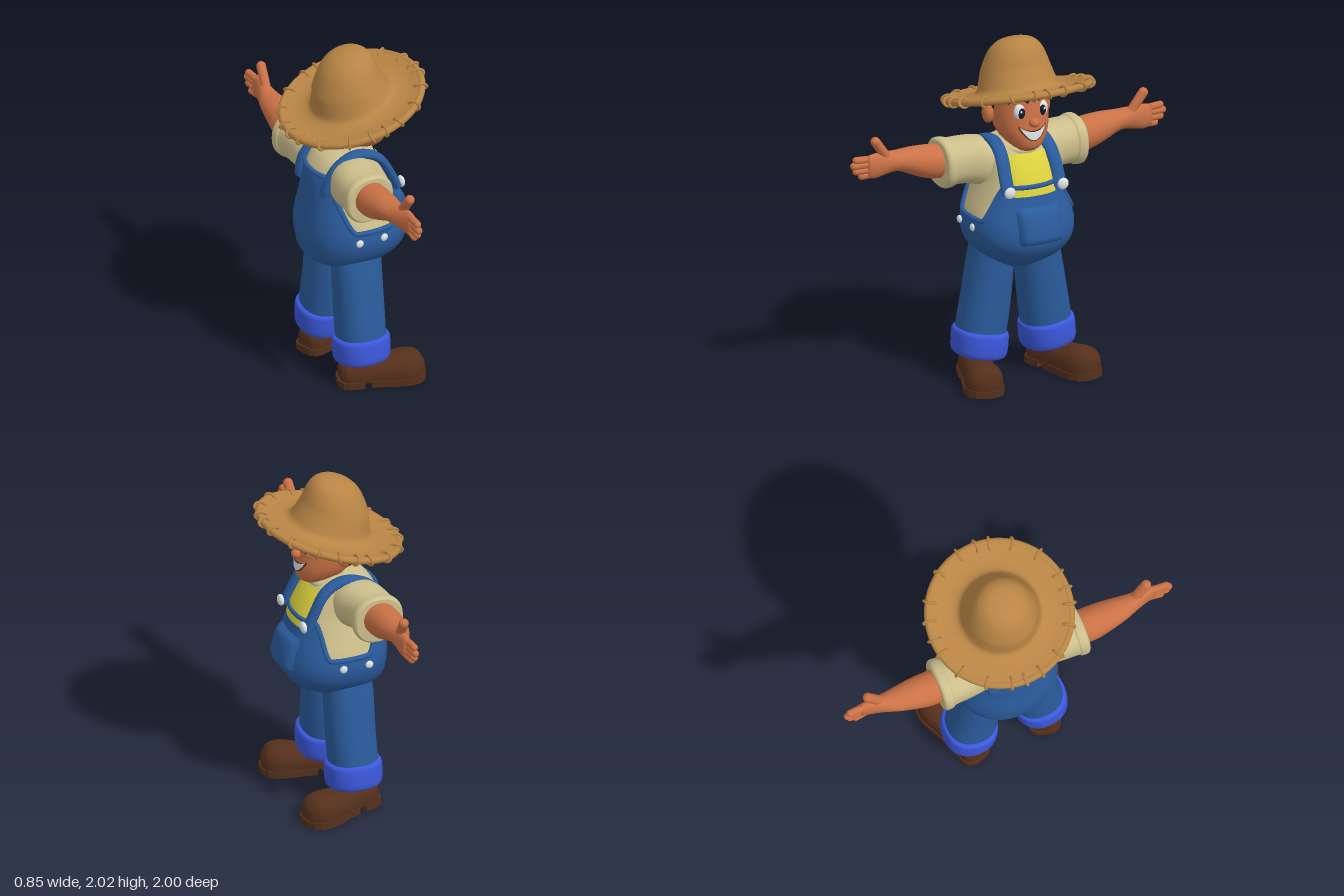
import * as THREE from 'three';

const mat = (name, color) => Object.assign(new THREE.MeshStandardMaterial({ color }), { name });
const V = (x, y, z) => new THREE.Vector3(x, y, z);
const smooth = THREE.MathUtils.smoothstep;

// Smoothly interpolate a table of rows [t, c1, c2, r1, r2]
function sample(rows, t) {
  let i = 0;
  while (i < rows.length - 2 && t > rows[i + 1][0]) i++;
  const a = rows[i], b = rows[i + 1], h = b[0] - a[0], u = THREE.MathUtils.clamp((t - a[0]) / h, 0, 1);
  const slope = (j, k) => {
    const p = rows[Math.max(j - 1, 0)], q = rows[Math.min(j + 1, rows.length - 1)];
    return (q[k] - p[k]) / (q[0] - p[0]) * h;
  };
  const u2 = u * u, u3 = u2 * u;
  return [1, 2, 3, 4].map(k => a[k] * (2 * u3 - 3 * u2 + 1) + slope(i, k) * (u3 - 2 * u2 + u)
    + b[k] * (3 * u2 - 2 * u3) + slope(i + 1, k) * (u3 - u2));
}

// Closed skin over rings of points
function skin(rings, flip) {
  const n = rings[0].length, pos = rings.flat().flatMap(p => p.toArray()), idx = [];
  for (let i = 0; i < rings.length - 1; i++) for (let j = 0; j < n; j++) {
    const a = i * n + j, b = i * n + (j + 1) % n, c = a + n, d = b + n;
    flip ? idx.push(a, b, c, b, d, c) : idx.push(a, c, b, b, c, d);
  }
  const g = new THREE.BufferGeometry();
  g.setAttribute('position', new THREE.Float32BufferAttribute(pos, 3));
  g.setIndex(idx);
  g.computeVertexNormals();
  return g;
}

// Superellipse ring at height t along an axis
const sp = (v, p) => Math.sign(v) * Math.abs(v) ** (2 / p);
function ringPoint(axis, t, [c1, c2, r1, r2], a, p, k = 1) {
  const u = c1 + k * r1 * sp(Math.cos(a), p), v = c2 + k * r2 * sp(Math.sin(a), p);
  return axis === 'y' ? V(u, t, v) : axis === 'x' ? V(t, u, v) : V(u, v, t);
}
function loft(axis, rows, { seg = 32, p = 2, k = 1, steps = 4 } = {}) {
  const rings = [], ring = (t, kk) => rings.push(Array.from({ length: seg },
    (_, j) => ringPoint(axis, t, sample(rows, t), j / seg * Math.PI * 2, p, kk)));
  ring(rows[0][0], 0);
  for (let i = 0; i < rows.length - 1; i++) for (let s = 0; s < steps; s++)
    ring(rows[i][0] + (rows[i + 1][0] - rows[i][0]) * s / steps, k);
  ring(rows.at(-1)[0], k);
  ring(rows.at(-1)[0], 0);
  return skin(rings, axis !== 'y');
}

// Move every vertex by a rule
function warp(g, rule) {
  const a = g.attributes.position, v = V(0, 0, 0);
  for (let i = 0; i < a.count; i++) { rule(v.fromBufferAttribute(a, i)); a.setXYZ(i, v.x, v.y, v.z); }
  g.computeVertexNormals();
  return g;
}
const patch = rule => warp(new THREE.PlaneGeometry(2, 2, 24, 16), rule);
const frontZ = (rows, x, y, p) => {
  const [, cz, rx, rz] = sample(rows, y);
  return cz + rz * Math.max(0, 1 - Math.abs(x / rx) ** p) ** (1 / p);
};
const ball = (x, y, z, rx, ry, rz) => new THREE.SphereGeometry(1, 24, 16).scale(rx, ry, rz).translate(x, y, z);
function capsule(a, b, r) {
  const d = b.clone().sub(a), g = new THREE.CapsuleGeometry(r, d.length(), 6, 14);
  g.applyQuaternion(new THREE.Quaternion().setFromUnitVectors(V(0, 1, 0), d.normalize()));
  const m = a.clone().add(b).multiplyScalar(0.5);
  return g.translate(m.x, m.y, m.z);
}
const tube = (pts, r, closed = false, n = 32) =>
  new THREE.TubeGeometry(new THREE.CatmullRomCurve3(pts, closed), n, r, 10, closed);
function mirrored(g) {
  const m = g.clone().scale(-1, 1, 1);
  const ids = m.index ? Array.from(m.index.array) : Array.from({ length: m.attributes.position.count }, (_, i) => i);
  for (let i = 0; i < ids.length; i += 3) [ids[i], ids[i + 1]] = [ids[i + 1], ids[i]];
  m.setIndex(ids);
  return m;
}

const TORSO = [[0.64, 0, -0.03, 0.02, 0.02], [0.67, 0, -0.03, 0.1, 0.1], [0.71, 0, -0.035, 0.17, 0.18], [0.77, 0, -0.03, 0.245, 0.265],
  [0.84, 0, -0.015, 0.295, 0.297], [0.92, 0, -0.015, 0.313, 0.303], [1.0, 0, -0.02, 0.3, 0.292], [1.1, 0, -0.03, 0.262, 0.268],
  [1.2, 0, -0.04, 0.225, 0.25], [1.3, 0, -0.055, 0.205, 0.215], [1.38, 0, -0.06, 0.18, 0.16], [1.42, 0, -0.06, 0.12, 0.1]];
const HEAD = [[1.385, 0, 0.1, 0.05, 0.055], [1.41, 0, 0.085, 0.085, 0.102], [1.45, 0, 0.05, 0.122, 0.145], [1.5, 0, 0.03, 0.146, 0.165],
  [1.58, 0, 0.01, 0.16, 0.175], [1.65, 0, 0, 0.163, 0.175], [1.72, 0, -0.01, 0.16, 0.17], [1.8, 0, -0.03, 0.1, 0.1]];
const HAIR = [[1.46, 0, -0.07, 0.08, 0.07], [1.52, 0, -0.06, 0.14, 0.115], [1.6, 0, -0.045, 0.17, 0.137],
  [1.67, 0, -0.035, 0.176, 0.155], [1.72, 0, -0.01, 0.176, 0.182], [1.79, 0, -0.03, 0.12, 0.12]];

export function createModel() {
  const skinTone = mat('skin', 0xcb7246), denim = mat('denim blue', 0x2a5b9c), cuffBlue = mat('cuff blue', 0x3c58dc),
    cream = mat('cream shirt', 0xcdbf8c), yellow = mat('yellow undershirt', 0xdcd23e), straw = mat('straw', 0xb98545),
    brown = mat('brown leather', 0x55301c), dark = mat('dark hair', 0x171a28), white = mat('white', 0xe6ebee);
  const body = new THREE.Group();
  body.name = 'farmer';
  const add = (name, g, m, parent = body) => {
    const mesh = new THREE.Mesh(g, m);
    mesh.name = name;
    parent.add(mesh);
    return mesh;
  };
  const both = (name, g, m) => { add(name + 'Right', g, m); add(name + 'Left', mirrored(g), m); };

  // Shirt and undershirt
  add('shirt', loft('y', TORSO.slice(4), { p: 2.3, k: 0.965, seg: 48 }), cream);
  add('undershirt', patch(v => {
    v.x *= 0.13; v.y = 1.25 + v.y * 0.11;
    v.z = frontZ(TORSO, v.x, v.y, 2.3) + 0.003;
  }), yellow);
  add('collar', new THREE.TorusGeometry(0.1, 0.022, 10, 32).rotateX(Math.PI / 2 + 0.25).translate(0, 1.39, 0), cream);
  both('sleeve', loft('x', [[0.08, 1.27, -0.08, 0.12, 0.13], [0.2, 1.285, -0.1, 0.14, 0.145], [0.3, 1.295, -0.12, 0.132, 0.138],
    [0.38, 1.295, -0.125, 0.132, 0.138], [0.39, 1.295, -0.125, 0.14, 0.146], [0.43, 1.295, -0.125, 0.142, 0.148],
    [0.445, 1.295, -0.125, 0.13, 0.135]], { p: 2.3 }), cream);

  // Overalls, with the upper edge dipping under each arm
  const top = a => {
    const s = Math.sin(a);
    return 0.99 + 0.2 * smooth(s, 0.35, 0.74) + 0.32 * smooth(-s, 0.3, 0.88);
  };
  const N = 96, angles = Array.from({ length: N }, (_, j) => j / N * Math.PI * 2);
  const onTorso = (y, a, k = 1) => ringPoint('y', y, sample(TORSO, y), a, 2.3, k);
  add('overalls', skin(Array.from({ length: 37 }, (_, i) => angles.map(a => onTorso(0.64 + (top(a) - 0.64) * i / 36, a)))), denim);
  add('overallsEdge', tube(angles.map(a => onTorso(top(a), a, 0.99)), 0.015, true, 160), denim);
  both('strap', tube([V(0, 1.16, 0.195), V(0, 1.25, 0.155), V(-0.005, 1.36, 0.09), V(-0.01, 1.41, 0), V(-0.01, 1.41, -0.09),
    V(-0.005, 1.36, -0.19), V(-0.01, 1.26, -0.245), V(-0.015, 1.2, -0.255)], 0.026).scale(1.6, 1, 1).translate(0.163, 0, 0), denim);
  add('pocket', patch(v => {
    const bulge = 0.038 * (1 - v.x ** 10) * (1 - v.y ** 10) - 0.004;
    v.x *= 0.137 - 0.012 * v.y ** 8; v.y = 0.975 + v.y * 0.107;
    v.z = frontZ(TORSO, v.x, v.y, 2.3) + bulge;
  }), denim);
  both('strapButton', ball(0.168, 1.18, 0.222, 0.034, 0.034, 0.018), white);
  for (const z of [-0.12, 0.035]) both('sideButton', ball(0.308, 0.94, z, 0.013, 0.023, 0.023), white);

  // Trouser legs and rolled cuffs
  both('leg', loft('y', [[0.2, 0.215, -0.06, 0.135, 0.13], [0.3, 0.203, -0.06, 0.143, 0.138], [0.5, 0.174, -0.056, 0.138, 0.14],
    [0.7, 0.15, -0.055, 0.126, 0.142], [0.82, 0.14, -0.05, 0.11, 0.14]], { p: 2.3 }), denim);
  both('cuff', warp(loft('y', [[0.135, 0.22, -0.06, 0.125, 0.13], [0.15, 0.22, -0.06, 0.147, 0.152], [0.2, 0.215, -0.06, 0.155, 0.16],
    [0.26, 0.21, -0.06, 0.155, 0.16], [0.285, 0.207, -0.06, 0.15, 0.155], [0.295, 0.205, -0.06, 0.135, 0.135]], { p: 2.3 }),
    v => { v.y += 0.15 * (v.x - 0.21); }), cuffBlue);

  // Boots with a split sole, toes turned out
  const place = g => g.rotateY(0.3).translate(0.255, 0, 0);
  both('boot', place(warp(loft('z', [[-0.2, 0, 0.06, 0.05, 0.05], [-0.16, 0, 0.06, 0.085, 0.085], [-0.05, 0, 0.06, 0.088, 0.1],
    [0.08, 0, 0.06, 0.098, 0.095], [0.18, 0, 0.06, 0.108, 0.108], [0.25, 0, 0.06, 0.088, 0.09], [0.285, 0, 0.055, 0.04, 0.045]],
    { p: 2.4 }), v => { v.y = Math.max(v.y, 0.025); })), brown);
  const sole = pts => {
    const half = pts.map(([x, z]) => new THREE.Vector2(x, -z));
    const s = new THREE.Shape([...half, ...half.slice().reverse().map(q => new THREE.Vector2(-q.x, q.y))]);
    return place(new THREE.ExtrudeGeometry(s, { depth: 0.04, bevelEnabled: false }).rotateX(-Math.PI / 2));
  };
  both('heel', sole([[0.045, -0.212], [0.08, -0.19], [0.095, -0.15], [0.095, -0.07]]), brown);
  both('sole', sole([[0.093, -0.03], [0.1, 0.05], [0.113, 0.13], [0.114, 0.2], [0.098, 0.25], [0.065, 0.28], [0.02, 0.294]]), brown);

  // Arms and open hands
  both('arm', loft('x', [[0.38, 1.305, -0.125, 0.095, 0.095], [0.5, 1.315, -0.13, 0.098, 0.097], [0.6, 1.335, -0.13, 0.083, 0.086],
    [0.7, 1.355, -0.13, 0.06, 0.068], [0.77, 1.358, -0.122, 0.064, 0.05], [0.84, 1.355, -0.112, 0.073, 0.036],
    [0.9, 1.355, -0.11, 0.066, 0.026]]), skinTone);
  [[1.303, 0.93], [1.336, 0.965], [1.37, 0.98], [1.402, 0.965]].forEach(([y, x]) =>
    both('finger', capsule(V(0.84, 1.355 + (y - 1.355) * 0.9, -0.11), V(x, y, -0.12), 0.021), skinTone));
  both('thumb', capsule(V(0.765, 1.38, -0.115), V(0.85, 1.5, -0.105), 0.028), skinTone);

  // Head, ears and hair
  add('neck', new THREE.CylinderGeometry(0.075, 0.085, 0.14, 24).translate(0, 1.43, 0), skinTone);
  add('head', loft('y', HEAD, { p: 2.15 }), skinTone);
  add('nose', ball(0, 1.565, 0.192, 0.032, 0.028, 0.034), skinTone);
  both('ear', ball(0.178, 1.585, -0.025, 0.033, 0.06, 0.042), skinTone);
  add('hair', loft('y', HAIR, { p: 2.15 }), dark);

  // Face details
  both('eyeWhite', ball(0.068, 1.628, 0.15, 0.038, 0.05, 0.024), white);
  both('pupil', ball(0.066, 1.622, 0.164, 0.023, 0.034, 0.016), dark);
  both('glint', ball(0.074, 1.634, 0.179, 0.007, 0.008, 0.003), white);
  both('eyebrow', tube([[0.025, 1.688], [0.06, 1.71], [0.1, 1.708], [0.13, 1.68]]
    .map(([x, y]) => V(x, y, frontZ(HEAD, x, y, 2.15) + 0.004)), 0.013), dark);
  const smile = (grow, off) => patch(v => {
    const u = v.x, hi = 1.512 + 0.028 * u * u + grow, lo = 1.462 + 0.074 * u * u - grow;
    v.x = u * (0.08 + grow); v.y = lo + (hi - lo) * (v.y + 1) / 2;
    v.z = frontZ(HEAD, v.x, v.y, 2.15) + off;
  });
  add('lips', smile(0.006, 0.003), brown);
  add('teeth', smile(0, 0.006), white);

  // Straw hat tilted back, with a stitched rim
  const hat = new THREE.Group();
  hat.name = 'hat';
  hat.position.set(0, 1.69, 0);
  hat.rotation.x = -0.278;
  body.add(hat);
  const profile = [[0.12, 0.05], [0.19, 0.0], [0.25, -0.022], [0.33, -0.026], [0.4, -0.014], [0.415, 0.005], [0.4, 0.016], [0.33, 0.006],
    [0.27, 0.01], [0.235, 0.028], [0.218, 0.07], [0.198, 0.14], [0.172, 0.21], [0.14, 0.265], [0.095, 0.3], [0.045, 0.314], [0.0001, 0.317]];
  const curve = new THREE.SplineCurve(profile.map(q => new THREE.Vector2(...q)));
  const shell = new THREE.LatheGeometry(curve.getPoints(64), 56);
  const hatMesh = add('hatShell', shell, straw, hat);
  const pos = shell.attributes.position;
  for (let i = 0; i < pos.count; i++) pos.setZ(i, pos.getZ(i) + 0.25 * Math.max(0, pos.getY(i) - 0.14));
  hatMesh.geometry.computeVertexNormals();
  add('hatRim', new THREE.TorusGeometry(0.405, 0.021, 10, 72).rotateX(Math.PI / 2), straw, hat);
  for (let i = 0; i < 20; i++)
    add('hatStitch', new THREE.TorusGeometry(0.027, 0.008, 8, 16).scale(1.25, 1, 1)
      .rotateX(i % 2 ? 0.3 : -0.2).translate(0.398, 0, 0).rotateY((i + 0.3 * Math.sin(i * 5)) / 20 * Math.PI * 2), straw, hat);

  // The figure looks along +x
  body.rotation.y = Math.PI / 2;
  const model = new THREE.Group();
  model.name = 'farmerModel';
  model.add(body);
  return model;
}
